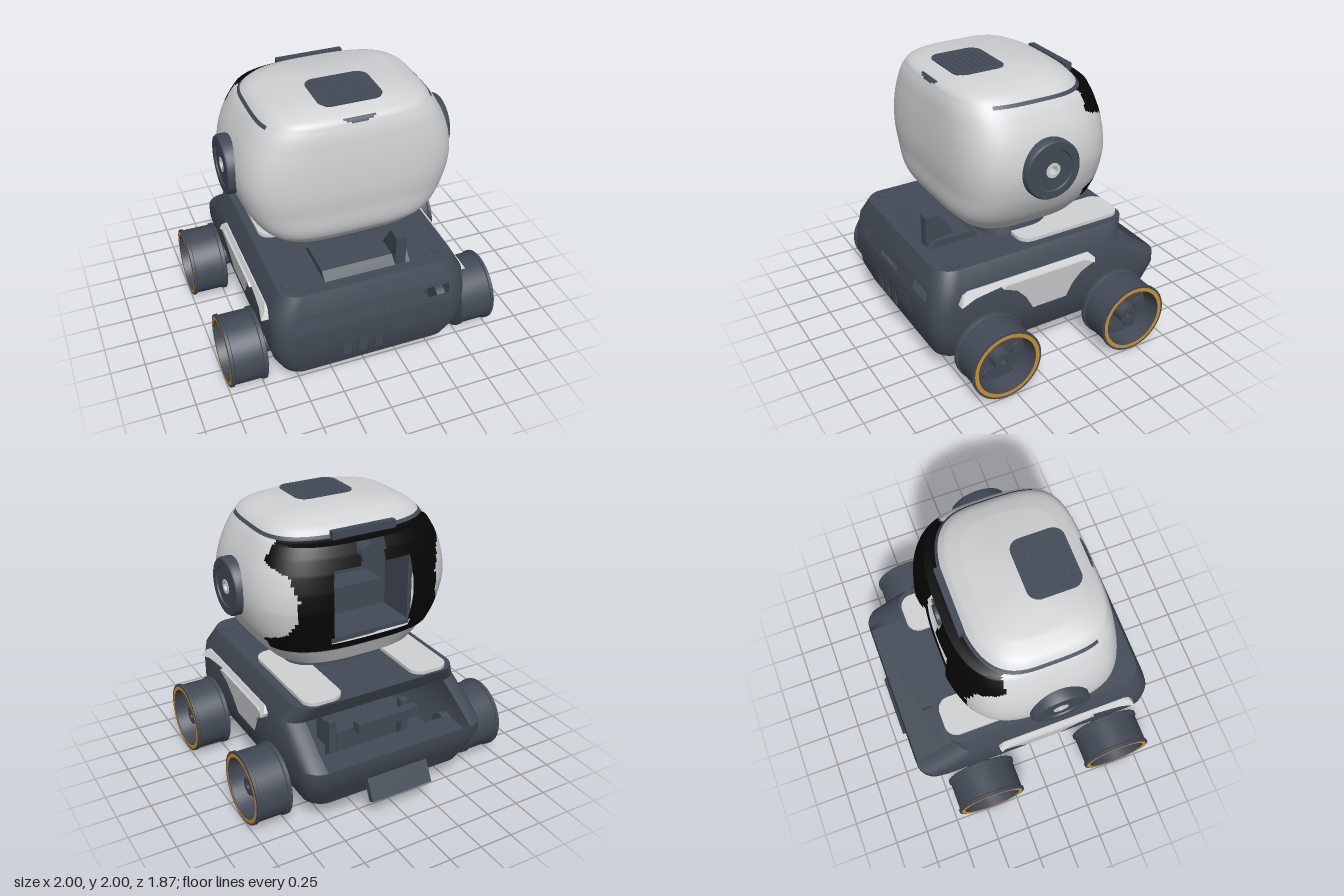
import * as THREE from 'three';
import { toCreasedNormals } from 'three/addons/utils/BufferGeometryUtils.js';

const mat = (name, color, side = THREE.DoubleSide) => {
  const m = new THREE.MeshStandardMaterial({ color, side });
  m.name = name;
  return m;
};

// Closed rings stacked upward; pick(centre, row, column) returns a material index or -1 for a gap
function loft(rings, pick) {
  const n = rings[0].length, pos = [], lists = [[], [], []];
  rings.forEach(r => r.forEach(p => pos.push(p.x, p.y, p.z)));
  const c = new THREE.Vector3();
  for (let i = 0; i < rings.length - 1; i++) for (let j = 0; j < n; j++) {
    const k = (j + 1) % n;
    c.copy(rings[i][j]).add(rings[i][k]).add(rings[i + 1][j]).add(rings[i + 1][k]).multiplyScalar(0.25);
    const m = pick(c, i, j);
    if (m < 0) continue;
    const a = i * n + j, b = i * n + k;
    lists[m].push(a, a + n, b, b, a + n, b + n);
  }
  [0, rings.length - 1].forEach(i => {
    const id = pos.length / 3, r = rings[i];
    c.set(0, 0, 0);
    r.forEach(p => c.add(p));
    c.divideScalar(n);
    pos.push(c.x, c.y, c.z);
    for (let j = 0; j < n; j++) {
      const p = i * n + j, q = i * n + (j + 1) % n;
      lists[0].push(id, ...(i ? [q, p] : [p, q]));
    }
  });
  const g = new THREE.BufferGeometry();
  g.setAttribute('position', new THREE.Float32BufferAttribute(pos, 3));
  g.setIndex(lists.flat());
  let start = 0;
  lists.forEach((l, m) => { if (l.length) g.addGroup(start, l.length, m); start += l.length; });
  return toCreasedNormals(g, 0.6);
}

// Rounded rectangle ring in plan
function roundRing(y, w, zf, zb, r, seg = 8) {
  const pts = [];
  [[1, 1], [-1, 1], [-1, -1], [1, -1]].forEach(([sx, sz], q) => {
    for (let i = 0; i <= seg; i++) {
      const a = (q + i / seg) * Math.PI / 2;
      pts.push(new THREE.Vector3(sx * (w - r) + r * Math.cos(a), y,
        (sz > 0 ? zf - r : zb + r) + r * Math.sin(a)));
    }
  });
  return pts;
}

function roundRect(w, h, r) {
  const s = new THREE.Shape(), x = w / 2 - r, y = h / 2 - r, q = Math.PI / 2;
  s.absarc(x, y, r, 0, q).absarc(-x, y, r, q, 2 * q).absarc(-x, -y, r, 2 * q, 3 * q).absarc(x, -y, r, 3 * q, 4 * q);
  return s;
}

// Side profile in (z, y), extruded along +x
function sideExtrude(pts, x0, width) {
  const s = new THREE.Shape(pts.map(p => new THREE.Vector2(p[0], p[1])));
  return new THREE.ExtrudeGeometry(s, { depth: width, bevelEnabled: false })
    .rotateY(-Math.PI / 2).translate(x0 + width, 0, 0);
}

const curve = (Type, table) => {
  const f = new Type(table.map(p => p[0]), table.map(p => p[1]), 1);
  return y => f.evaluate(y)[0];
};

export function createModel() {
  const slate = mat('slate', 0x434a56), shell = mat('light grey', 0xd0d1d3);
  const black = mat('black', 0x060606), orange = mat('orange', 0xcc9032);
  const model = new THREE.Group();
  const add = (name, geo, m, x = 0, y = 0, z = 0, parent = model) => {
    const o = new THREE.Mesh(geo, m);
    o.name = name;
    o.position.set(x, y, z);
    parent.add(o);
    return o;
  };
  const box = (name, w, h, d, m, x, y, z) => add(name, new THREE.BoxGeometry(w, h, d), m, x, y, z);

  // Chassis: y, half width, front z, back z; the sloped rear is open
  const rows = [[0.17, 0.63, 0.87, -0.78], [0.3, 0.69, 0.92, -0.84], [0.43, 0.71, 0.94, -0.9], [0.51, 0.71, 0.94, -0.9],
    [0.58, 0.71, 0.94, -0.79], [0.72, 0.7, 0.91, -0.57], [0.85, 0.63, 0.86, -0.64]];
  const frontCol = 8, rearCol = 26;
  add('chassis', loft(rows.map(r => roundRing(...r, 0.14)), (c, i, j) =>
    (j === frontCol && i === 4) || (j === rearCol && (i === 3 || i === 4)) ? -1 : 0), [slate]);

  // Front port strip with through holes, leaning with the chassis
  const strip = new THREE.Shape([[-0.57, 0.58], [0.57, 0.58], [0.56, 0.72], [-0.56, 0.72]].map(p => new THREE.Vector2(...p)));
  [[-0.55, -0.39, 0.61, 0.68], [-0.17, 0.1, 0.61, 0.64], [0.35, 0.55, 0.62, 0.69]].forEach(([a, b, c, d]) =>
    strip.holes.push(new THREE.Path([[a, c], [a, d], [b, d], [b, c]].map(p => new THREE.Vector2(...p)))));
  const stripGeo = new THREE.ShapeGeometry(strip), sp = stripGeo.attributes.position;
  for (let i = 0; i < sp.count; i++) sp.setZ(i, 0.94 - (sp.getY(i) - 0.58) / 0.14 * 0.03);
  stripGeo.computeVertexNormals();
  add('frontPortStrip', stripGeo, slate);
  [-0.205, -0.09, 0.03].forEach(x => box('frontVent', 0.06, 0.15, 0.012, slate, x, 0.375, 0.934));
  box('frontSocket', 0.2, 0.09, 0.012, slate, 0.22, 0.455, 0.938);

  // Rear bay contents, bar and tilted plate
  box('baySill', 1.12, 0.03, 0.24, slate, 0, 0.45, -0.77);
  box('bayBlock', 0.5, 0.2, 0.3, slate, 0, 0.36, -0.3);
  [-0.3, 0.3].forEach(x => box('bayPost', 0.06, 0.4, 0.06, slate, x, 0.38, -0.45));
  box('rearBar', 0.48, 0.07, 0.07, slate, 0, 0.645, -0.695);
  box('rearPlate', 0.48, 0.17, 0.05, slate, 0, 0.235, -0.865).rotation.x = 0.5;
  [-1, 1].forEach(s => [-0.5, 0.5].forEach(z =>
    box('undersidePad', 0.34, 0.025, 0.3, slate, s * 0.45, 0.165, z)));

  // Deck hump, antenna fin, corner screws and neck
  add('deckHump', sideExtrude([[0.78, 0.85], [0.72, 0.9], [0.45, 0.9], [0.4, 0.85]], -0.31, 0.62), slate);
  add('antennaFin', sideExtrude([[0.78, 0.85], [0.78, 1.075], [0.68, 1.075], [0.55, 0.88], [0.55, 0.85]], 0.2, 0.075), slate);
  add('neck', loft([roundRing(0.85, 0.42, 0.37, -0.17, 0.2), roundRing(1.01, 0.38, 0.34, -0.15, 0.18)], () => 0), [slate]);
  [-1, 1].forEach(s => {
    add('cornerScrew', new THREE.CylinderGeometry(0.05, 0.05, 0.02, 24), slate, s * 0.55, 0.847, 0.72);
    const plate = new THREE.ExtrudeGeometry(roundRect(0.29, 0.82, 0.09), { depth: 0.03, bevelEnabled: false, curveSegments: 8 });
    add('deckPlate', plate.rotateX(-Math.PI / 2), shell, s * 0.425, 0.845, -0.21);
  });

  // Side fairings: an upper lip and a lower panel that lean in from the ridge
  const lean = (g, y0, x0, y1, x1) => {
    const p = g.attributes.position;
    for (let i = 0; i < p.count; i++)
      if (p.getX(i) > 0.7) p.setX(i, x0 + (x1 - x0) * (p.getY(i) - y0) / (y1 - y0));
    g.computeVertexNormals();
    return g;
  };
  const lip = [[0.77, 0.64], [0.74, 0.7], [0.7, 0.72], [-0.25, 0.72], [-0.29, 0.68], [-0.28, 0.65], [-0.2, 0.69], [0.42, 0.69], [0.55, 0.68], [0.66, 0.67]];
  const panel = [[0.42, 0.69], [-0.2, 0.69], [-0.28, 0.65], [-0.18, 0.6], [-0.12, 0.53], [-0.07, 0.42], [0.2, 0.42], [0.26, 0.53], [0.34, 0.62], [0.45, 0.67]];
  [1, -1].forEach(s => {
    const side = new THREE.Group();
    side.name = 'sideFairing';
    side.scale.x = s;
    add('fairingLip', lean(sideExtrude(lip, 0.64, 0.1), 0.64, 0.76, 0.72, 0.71), shell, 0, 0, 0, side);
    add('fairingPanel', lean(sideExtrude(panel, 0.64, 0.1), 0.42, 0.715, 0.69, 0.745), shell, 0, 0, 0, side);
    model.add(side);
  });

  // Dished wheels with hub, bosses and an orange rim
  const turned = (pts, s) => toCreasedNormals(new THREE.LatheGeometry(pts.map(p => new THREE.Vector2(...p)), 48), 0.6)
    .rotateZ(-s * Math.PI / 2);
  const wheelProfile = [[0, 0.735], [0.25, 0.735], [0.26, 0.74], [0.26, 0.765], [0.25, 0.77], [0.25, 0.972], [0.26, 0.977],
    [0.26, 0.998], [0.215, 0.998], [0.205, 0.86], [0.07, 0.86], [0.065, 0.95], [0.025, 0.95], [0.025, 0.85], [0, 0.85]];
  [1, -1].forEach(s => [0.57, -0.455].forEach(z => {
    const wheel = new THREE.Group();
    wheel.name = 'wheel';
    wheel.position.set(0, 0.262, z);
    add('tyreAndDish', turned(wheelProfile, s), slate, 0, 0, 0, wheel);
    add('rimRing', new THREE.RingGeometry(0.218, 0.245, 48).rotateY(s * Math.PI / 2), orange, s, 0, 0, wheel);
    add('axle', new THREE.CylinderGeometry(0.085, 0.085, 0.12, 24).rotateZ(Math.PI / 2), slate, s * 0.69, 0, 0, wheel);
    for (let i = 0; i < 6; i++) {
      const a = i * Math.PI / 3;
      add('wheelBoss', new THREE.CylinderGeometry(0.045, 0.045, 0.03, 20).rotateZ(Math.PI / 2), slate,
        s * 0.865, 0.15 * Math.sin(a), 0.15 * Math.cos(a), wheel);
    }
    model.add(wheel);
  }));

  // Head shell: half width, front and back as functions of height
  const halfW = curve(THREE.CubicInterpolant, [[1, 0.54], [1.1, 0.63], [1.2, 0.69], [1.3, 0.73], [1.48, 0.76], [1.65, 0.735],
    [1.8, 0.67], [1.9, 0.6], [1.96, 0.53], [2, 0.42]]);
  const front = curve(THREE.CubicInterpolant, [[1, 0.53], [1.1, 0.61], [1.3, 0.64], [1.45, 0.65], [1.75, 0.63], [1.9, 0.6], [1.95, 0.57], [2, 0.46]]);
  const back = curve(THREE.LinearInterpolant, [[1, -0.38], [1.12, -0.44], [1.14, -0.47], [1.22, -0.495], [1.32, -0.515], [1.45, -0.53],
    [1.58, -0.52], [1.7, -0.5], [1.8, -0.47], [1.87, -0.44], [1.89, -0.36], [1.95, -0.3], [2, -0.2]]);
  const visorEdge = curve(THREE.LinearInterpolant, [[1.14, -0.21], [1.22, -0.21], [1.28, -0.38], [1.4, -0.45], [1.55, -0.45],
    [1.7, -0.39], [1.77, -0.22], [1.89, -0.21]]);
  const zMid = 0.06, rings = [];
  for (let i = 0; i <= 100; i++) {
    const y = 1 + i / 100, w = halfW(y), f = front(y) - zMid, b = zMid - back(y), ring = [];
    for (let j = 0; j < 192; j++) {
      const a = j / 96 * Math.PI, c = Math.cos(a), s = Math.sin(a), n = s > 0 ? 4 : 3;
      const r = Math.pow(Math.abs(c) ** n + Math.abs(s) ** n, -1 / n);
      ring.push(new THREE.Vector3(w * r * c, y, zMid + (s > 0 ? f : b) * r * s));
    }
    rings.push(ring);
  }
  add('headShell', loft(rings, ({ x, y, z }) => {
    const ax = Math.abs(x);
    if (ax > 0.5 && Math.hypot(z - 0.115, y - 1.49) < 0.12) return -1;
    if (z < -0.25 && ((ax < 0.3 && y > 1.19 && y < 1.72) || (ax < 0.1 && y >= 1.72 && y < 1.87))) return -1;
    if (y > 1.14 && y < 1.89 && z < visorEdge(y)) return 1;
    if (y > 1.89 && y < 1.91 && z < 0.42) return 2;
    if (z > 0.4 && ax < 0.11 && y < 1.948 && y > 1.915 + 0.03 * (x / 0.11) ** 2) return 2;
    return 0;
  }), [shell, black, slate]);

  // Head interior seen through the visor opening
  box('innerWall', 0.8, 0.66, 0.03, slate, 0, 1.5, -0.08);
  [-1, 1].forEach(s => box('innerSide', 0.03, 0.62, 0.3, slate, s * 0.36, 1.5, -0.24));
  box('innerFloor', 0.7, 0.03, 0.32, slate, 0, 1.18, -0.25);
  box('innerDevice', 0.36, 0.16, 0.2, slate, 0, 1.42, -0.2);
  add('camera', new THREE.CylinderGeometry(0.07, 0.07, 0.12, 28).rotateX(Math.PI / 2), slate, 0, 1.77, -0.4);
  box('lidLatch', 0.48, 0.07, 0.045, slate, 0, 1.905, -0.355);

  // Hollow ear discs
  [1, -1].forEach(s => {
    add('earDisc', turned([[0.05, 0.68], [0.205, 0.68], [0.205, 0.785], [0.195, 0.8], [0.145, 0.8], [0.14, 0.79], [0.05, 0.79], [0.05, 0.68]], s), slate, 0, 1.49, 0.115);
    add('earBush', turned([[0.03, 0.7], [0.052, 0.7], [0.052, 0.794], [0.03, 0.794], [0.03, 0.7]], s), shell, 0, 1.49, 0.115);
  });

  // Roof grille
  const grille = new THREE.ExtrudeGeometry(roundRect(0.44, 0.37, 0.08), { depth: 0.008, bevelEnabled: false, curveSegments: 8 });
  add('roofGrille', grille.rotateX(-Math.PI / 2), slate, 0, 1.996, 0.295);
  for (let i = 0; i < 8; i++) box('grilleSlat', 0.3, 0.008, 0.02, slate, 0, 2.003, 0.155 + i * 0.04);
  return model;
}
